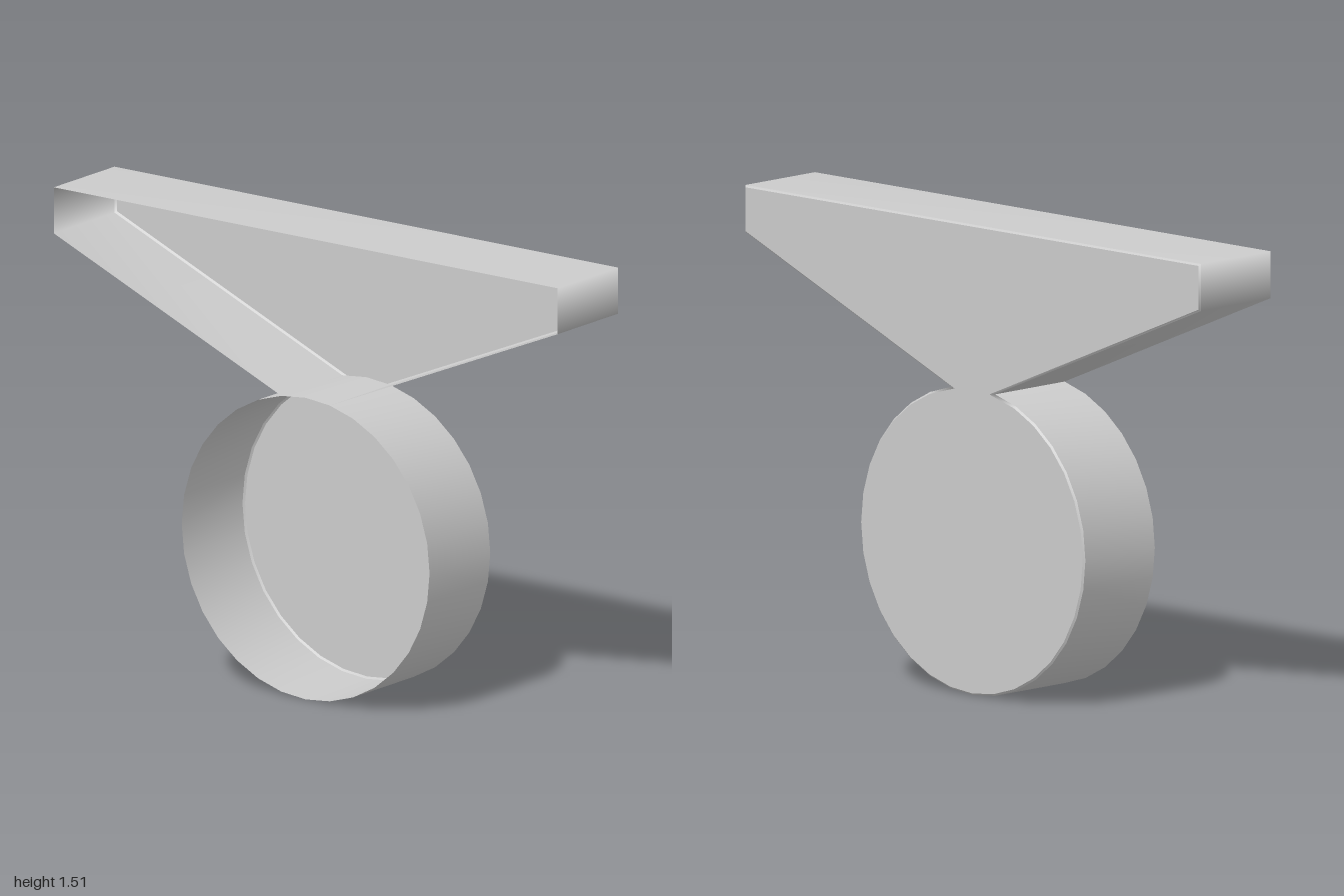
import * as THREE from 'three';

const SIDES = 32, RADIUS = 0.492, CENTER_Y = 0.496;
const OPEN_X = -0.16, WALL_X = 0.154, PLATE_X = 0.16, INSET = 0.006;

// Point [z, y] on the wheel, counted in steps from the top
function wheelPoint(k, r) {
  const a = (k / SIDES) * Math.PI * 2;
  return [Math.sin(a) * r, CENTER_Y + Math.cos(a) * r];
}

// Tapered beam outline from neck to neck, drawn in by d
function beamOutline(d) {
  const [nz, ny] = wheelPoint(1, RADIUS);
  const half = [
    [nz - 3.3 * d, ny - 0.34 * d],
    [1 - d, 1.36 + 0.66 * d],
    [1 - d, 1.51 - d],
  ];
  return [...half, ...half.map(([z, y]) => [-z, y]).reverse()];
}

// Beam and wheel joined into one outline
function plateOutline(d) {
  const points = beamOutline(d);
  for (let k = SIDES - 2; k >= 2; k--) points.push(wheelPoint(k, RADIUS - d));
  return points;
}

// Sheet between two matching outlines at different x
function ribbon(a, xa, b, xb, closed) {
  const position = [], index = [], n = a.length;
  for (let i = 0; i < n; i++) {
    position.push(xa, a[i][1], a[i][0], xb, b[i][1], b[i][0]);
    if (i === n - 1 && !closed) break;
    const p = 2 * i, q = 2 * ((i + 1) % n);
    index.push(p, q, p + 1, p + 1, q, q + 1);
  }
  const geometry = new THREE.BufferGeometry();
  geometry.setAttribute('position', new THREE.Float32BufferAttribute(position, 3));
  geometry.setIndex(index);
  geometry.computeVertexNormals();
  return geometry;
}

export function createModel() {
  const group = new THREE.Group();
  const material = new THREE.MeshStandardMaterial({ color: 0xcccccc, side: THREE.DoubleSide });
  const add = (name, geometry) => {
    const mesh = new THREE.Mesh(geometry, material);
    mesh.name = name;
    group.add(mesh);
  };

  // Thin walls, open on the -x side
  const beam = beamOutline(0);
  add('beamWall', ribbon(beam, OPEN_X, beam, WALL_X, false));
  const wheel = Array.from({ length: SIDES }, (_, i) => wheelPoint(SIDES - i, RADIUS));
  add('wheelWall', ribbon(wheel, OPEN_X, wheel, WALL_X, true));

  // Narrow bevel from the walls to the side plate
  add('plateBevel', ribbon(plateOutline(0), WALL_X, plateOutline(INSET), PLATE_X, true));

  // Flat plate closing the +x side
  const shape = new THREE.Shape(plateOutline(INSET).map(([z, y]) => new THREE.Vector2(-z, y)));
  add('sidePlate', new THREE.ShapeGeometry(shape).rotateY(Math.PI / 2).translate(PLATE_X, 0, 0));

  return group;
}
